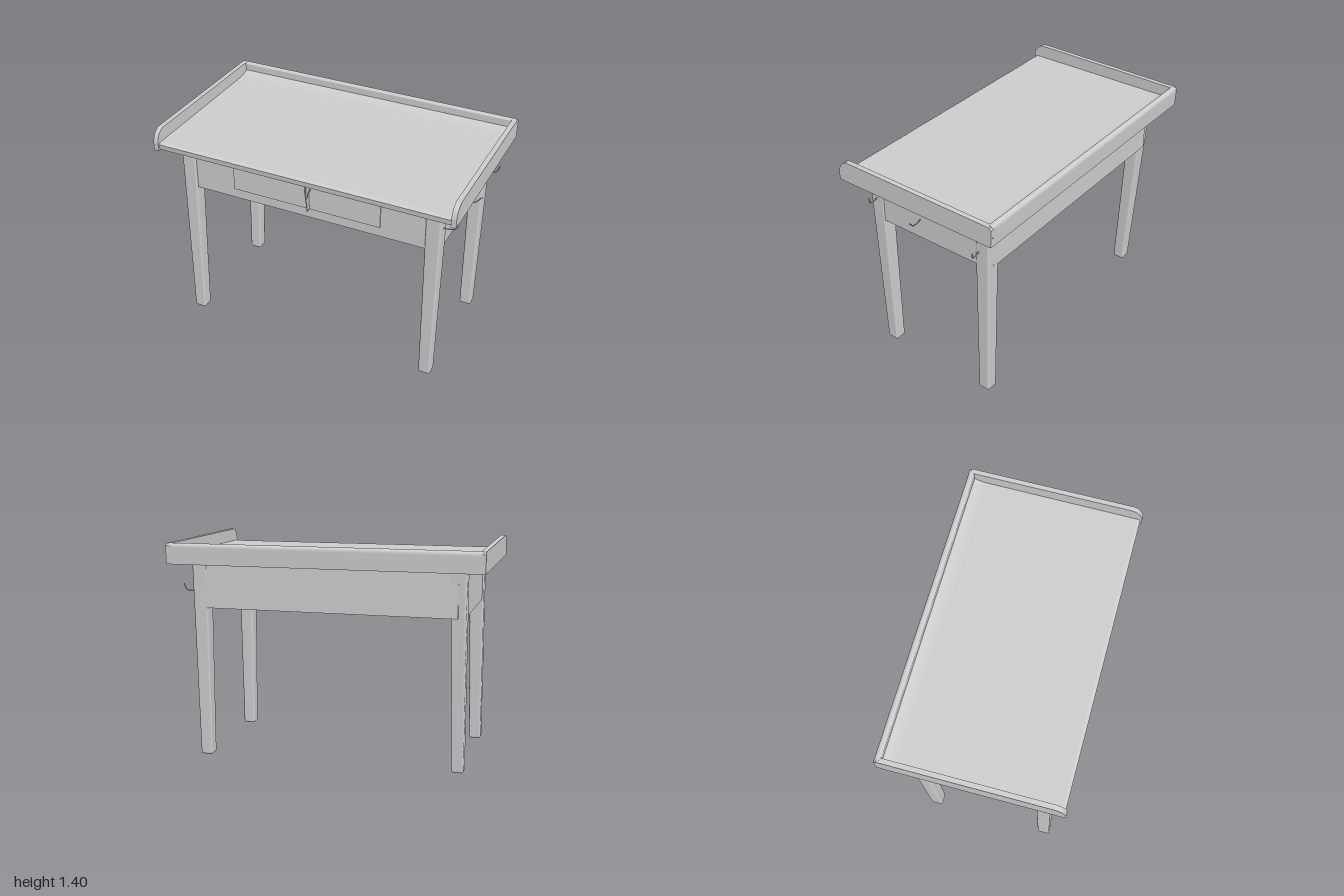
import * as THREE from 'three';
import { RoundedBoxGeometry } from 'three/addons/geometries/RoundedBoxGeometry.js';

const material = new THREE.MeshStandardMaterial({ color: 0xcccccc, side: THREE.DoubleSide });

export function createModel() {
  const group = new THREE.Group();
  const add = (name, geometry) => {
    const mesh = new THREE.Mesh(geometry, material);
    mesh.name = name;
    group.add(mesh);
    return mesh;
  };
  // box given by its limits on each axis
  const box = (name, x0, x1, y0, y1, z0, z1) =>
    add(name, new THREE.BoxGeometry(x1 - x0, y1 - y0, z1 - z0)
      .translate((x0 + x1) / 2, (y0 + y1) / 2, (z0 + z1) / 2));
  // outline drawn in (z, y), extruded along x
  const extrudeAlongX = (name, shape, x0, x1) => {
    const g = new THREE.ExtrudeGeometry(shape, { depth: x1 - x0, bevelEnabled: false, curveSegments: 10 });
    g.rotateY(-Math.PI / 2).translate(x1, 0, 0);
    return add(name, g);
  };

  // table top: flat board that sweeps up softly to the back rail
  const board = new THREE.Shape();
  board.moveTo(0.555, 1.27);
  board.lineTo(0.56, 1.305);
  board.lineTo(0.54, 1.315);
  board.lineTo(-0.42, 1.32);
  board.quadraticCurveTo(-0.51, 1.32, -0.535, 1.35);
  board.lineTo(-0.535, 1.27);
  extrudeAlongX('tableTop', board, -0.965, 0.965);

  // side rails with rounded front ends
  const rail = new THREE.Shape();
  rail.moveTo(-0.56, 1.265);
  rail.lineTo(0.57, 1.265);
  rail.lineTo(0.57, 1.32);
  rail.quadraticCurveTo(0.555, 1.39, 0.5, 1.4);
  rail.lineTo(-0.55, 1.395);
  rail.lineTo(-0.565, 1.38);
  for (const s of [-1, 1]) {
    extrudeAlongX(s > 0 ? 'leftRail' : 'rightRail', rail, s * 0.975 - 0.016, s * 0.975 + 0.016);
  }

  // back rail with a rounded upper edge
  const backRail = new THREE.Shape();
  backRail.moveTo(-0.525, 1.265);
  backRail.lineTo(-0.525, 1.385);
  backRail.quadraticCurveTo(-0.53, 1.397, -0.545, 1.397);
  backRail.quadraticCurveTo(-0.565, 1.395, -0.565, 1.37);
  backRail.lineTo(-0.56, 1.265);
  extrudeAlongX('backRail', backRail, -0.975, 0.975);

  // apron boards
  box('frontApron', -0.82, 0.82, 0.98, 1.28, 0.425, 0.445);
  box('backApron', -0.82, 0.82, 0.98, 1.28, -0.445, -0.425);
  for (const s of [-1, 1]) {
    box(s > 0 ? 'leftApron' : 'rightApron', s * 0.85 - 0.01, s * 0.85 + 0.01, 0.98, 1.28, -0.4, 0.4);
  }

  // tapered legs, each with its own slight lean: top centre to foot centre
  const leg = (name, topX, topZ, footX, footZ) => {
    const h = 1.275;
    const g = new RoundedBoxGeometry(0.1, h, 0.1, 3, 0.015).translate(0, h / 2, 0);
    const p = g.attributes.position;
    for (let i = 0; i < p.count; i++) {
      const t = Math.min(1, p.getY(i) / h);
      const width = THREE.MathUtils.lerp(0.78, 1, t);
      p.setX(i, p.getX(i) * width + THREE.MathUtils.lerp(footX, topX, t));
      p.setZ(i, p.getZ(i) * width + THREE.MathUtils.lerp(footZ, topZ, t));
    }
    g.computeVertexNormals();
    add(name, g);
  };
  leg('frontLeftLeg', 0.82, 0.405, 0.815, 0.4);
  leg('frontRightLeg', -0.82, 0.405, -0.83, 0.44);
  leg('backLeftLeg', 0.82, -0.4, 0.82, -0.375);
  leg('backRightLeg', -0.82, -0.4, -0.825, -0.33);

  // drawer with its runners underneath the top
  box('drawerFront', -0.5, 0.49, 1.045, 1.265, 0.44, 0.452);
  box('drawerBottom', -0.49, 0.48, 1.05, 1.065, -0.38, 0.43);
  box('drawerBack', -0.49, 0.48, 1.06, 1.23, -0.395, -0.38);
  for (const s of [-1, 1]) {
    const x = s * 0.485 - 0.005;
    box('drawerSide', x - 0.008, x + 0.008, 1.05, 1.23, -0.39, 0.43);
    box('drawerRunner', x + s * 0.045 - 0.025, x + s * 0.045 + 0.025, 1.03, 1.06, -0.43, 0.43);
  }

  // thin drawer pull: a narrow fin with a forked top
  const fin = new THREE.Shape();
  fin.moveTo(0.45, 1.05);
  fin.lineTo(0.475, 1.04);
  fin.lineTo(0.485, 1.1);
  fin.lineTo(0.497, 1.16);
  fin.lineTo(0.487, 1.22);
  fin.lineTo(0.45, 1.21);
  extrudeAlongX('drawerPull', fin, 0.018, 0.024);
  const wire = (name, points, radius = 0.004) => {
    const curve = new THREE.CatmullRomCurve3(points.map((q) => new THREE.Vector3(...q)));
    add(name, new THREE.TubeGeometry(curve, 12, radius, 6));
  };
  for (const s of [-1, 1]) {
    wire('pullFork', [[0.021, 1.13, 0.48], [0.021 + s * 0.01, 1.17, 0.48], [0.021 + s * 0.02, 1.2, 0.465]], 0.003);
  }

  // wire hooks on the left apron
  for (const [z, y, tip] of [[0.4, 1.15, 0.95], [0.06, 1.13, 0.975], [-0.38, 1.1, 0.95]]) {
    wire('hook', [[0.855, y - 0.02, z + 0.01], [0.9, y - 0.022, z], [0.935, y - 0.015, z - 0.005], [tip, y + 0.025, z - 0.015]]);
  }
  return group;
}
